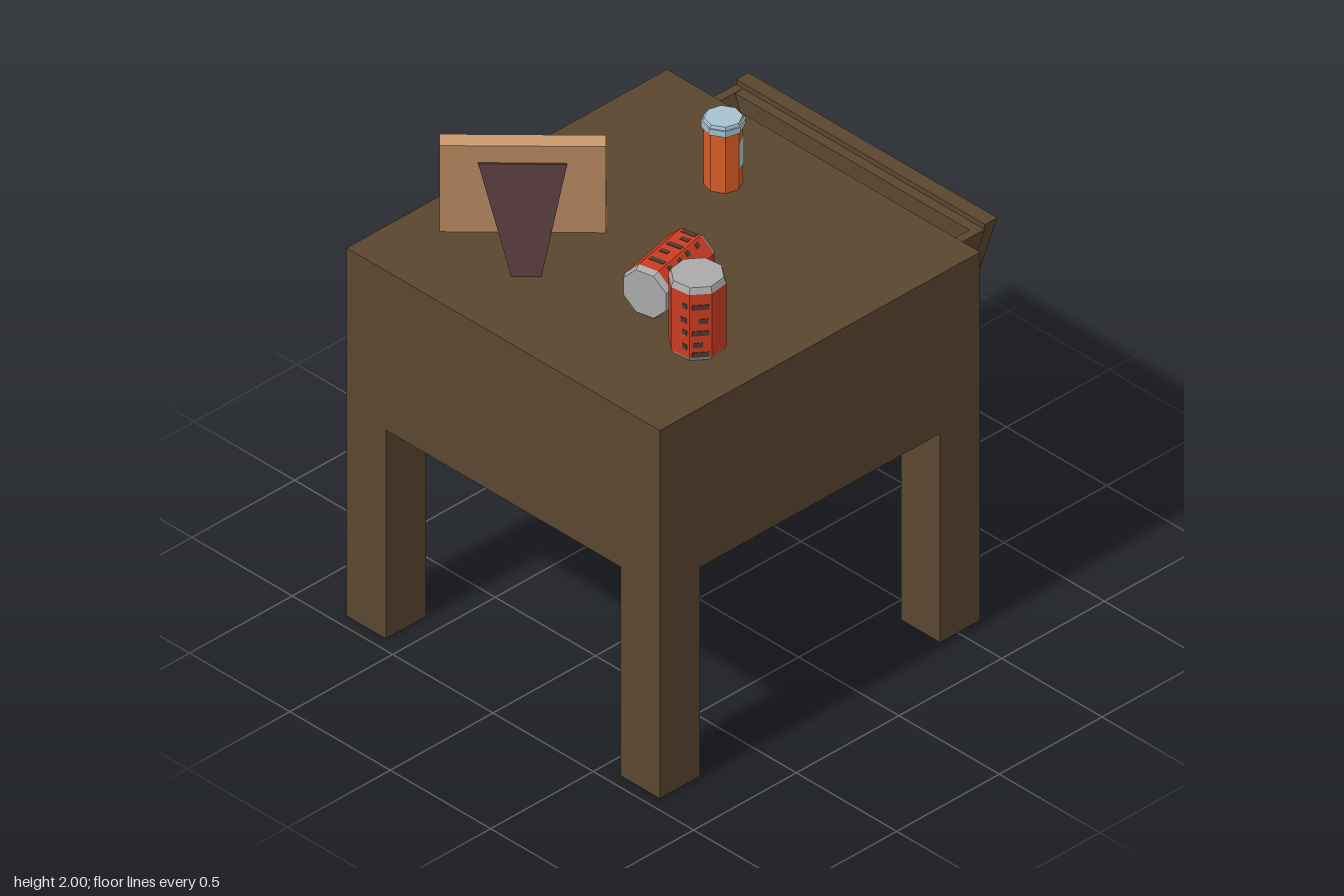
import * as THREE from 'three';

const mat = (name, color, extra = {}) => {
  const m = new THREE.MeshStandardMaterial({ color, flatShading: true, ...extra });
  m.name = name;
  return m;
};
const M = {
  wood: mat('dark wood', 0x5a4630),
  red: mat('can red', 0xcc3c22),
  metal: mat('can metal', 0xaaaaaa),
  mark: mat('can print', 0x4c3a2e),
  orange: mat('bottle orange', 0xd85c24),
  pale: mat('pale blue', 0xa6c2d0, { side: THREE.DoubleSide }),
  frame: mat('frame wood', 0xc8966c),
  maroon: mat('stand maroon', 0x503538),
  sky: mat('picture sky', 0x8299c0),
};

function add(parent, name, geo, material, x = 0, y = 0, z = 0) {
  const m = new THREE.Mesh(geo, material);
  m.name = name;
  m.position.set(x, y, z);
  parent.add(m);
  return m;
}
// Box given by its limits
function box(parent, name, material, x0, x1, y0, y1, z0, z1) {
  return add(parent, name, new THREE.BoxGeometry(x1 - x0, y1 - y0, z1 - z0), material,
    (x0 + x1) / 2, (y0 + y1) / 2, (z0 + z1) / 2);
}
// Flat outline in x and y, extruded from z0 to z1
function slab(parent, name, material, pts, z0, z1) {
  const shape = new THREE.Shape(pts.map(p => new THREE.Vector2(...p)));
  return add(parent, name, new THREE.ExtrudeGeometry(shape, { depth: z1 - z0, bevelEnabled: false }),
    material, 0, 0, z0);
}
const trapezoid = (top, bottom, y0, y1) => [[-top, y1], [-bottom, y0], [bottom, y0], [top, y1]];
function group(parent, name, x = 0, y = 0, z = 0) {
  const g = new THREE.Group();
  g.name = name;
  g.position.set(x, y, z);
  parent.add(g);
  return g;
}
const ring = (rTop, rBottom, h) => new THREE.CylinderGeometry(rTop, rBottom, h, 8);

function table(root) {
  const g = group(root, 'table');
  box(g, 'tableBody', M.wood, -0.78, 0.78, 0.885, 1.56, -0.61, 0.95);
  for (const x of [-0.78, 0.585])
    for (const z of [-0.61, 0.755])
      box(g, 'leg', M.wood, x, x + 0.195, 0, 0.885, z, z + 0.195);
}

function drawer(root) {
  const g = group(root, 'drawer');
  // tapered tray, open at the top
  slab(g, 'drawerTray', M.wood, [[-0.62, 1.49], [-0.435, 0.96], [0.435, 0.96], [0.62, 1.49],
    [0.585, 1.49], [0.395, 0.99], [-0.395, 0.99], [-0.585, 1.49]], -0.79, -0.61);
  slab(g, 'drawerInnerWall', M.wood, trapezoid(0.6, 0.41, 0.97, 1.488), -0.79, -0.75);
  slab(g, 'drawerFront', M.wood, trapezoid(0.62, 0.435, 0.96, 1.51), -0.85, -0.79);
  // bracket handle with slanted ends
  slab(g, 'handleBar', M.wood, trapezoid(0.21, 0.165, 1.17, 1.275), -0.95, -0.93);
  for (const s of [-1, 1]) {
    const pts = [[0.21, 1.275], [0.185, 1.275], [0.14, 1.17], [0.165, 1.17]];
    slab(g, 'handleEnd', M.wood, pts.map(([x, y]) => [s * x, y]), -0.93, -0.85);
  }
}

// Eight-sided drink can standing on its own origin
function can(parent) {
  const g = group(parent, 'can'), r = 0.105;
  add(g, 'canBottom', ring(r, 0.093, 0.018), M.metal, 0, 0.009);
  add(g, 'canBody', ring(r, r, 0.267), M.red, 0, 0.1515);
  add(g, 'canTop', ring(0.096, r, 0.025), M.metal, 0, 0.2975);
  // printed marks: face angle, offset along the face, height, width
  const marks = [[67.5, 0, 0.23, 0.06], [67.5, 0.01, 0.17, 0.035], [67.5, 0, 0.12, 0.06],
    [67.5, -0.01, 0.07, 0.035], [67.5, 0, 0.03, 0.06], [22.5, 0.02, 0.23, 0.02],
    [22.5, 0.015, 0.17, 0.025], [22.5, 0.02, 0.12, 0.02], [22.5, 0.02, 0.06, 0.02]];
  for (const [deg, off, y, w] of marks) {
    const face = group(g, 'printFace');
    face.rotation.y = THREE.MathUtils.degToRad(deg);
    add(face, 'printMark', new THREE.BoxGeometry(w, 0.02, 0.004), M.mark, off, y,
      r * Math.cos(Math.PI / 8));
  }
  return g;
}

function bottle(root) {
  const g = group(root, 'pillBottle', -0.15, 1.56, -0.268);
  g.rotation.y = 0.12;
  add(g, 'bottleBody', ring(0.07, 0.07, 0.245), M.orange, 0, 0.1225);
  add(g, 'lidRim', ring(0.078, 0.078, 0.025), M.pale, 0, 0.255);
  add(g, 'lidTop', ring(0.068, 0.072, 0.012), M.pale, 0, 0.2735);
  add(g, 'bottleLabel', new THREE.CylinderGeometry(0.073, 0.073, 0.12, 2, 1, true,
    Math.PI / 2, Math.PI / 2), M.pale, 0, 0.14);
}

function photoFrame(root) {
  const g = group(root, 'photoFrame', -0.406, 1.56, 0.4575);
  g.rotation.y = Math.PI / 4;
  const lean = 0.21, W = 0.29, H = 0.438, t = 0.055, b = 0.032;
  // leaning panel, picture towards local -z
  const p = group(g, 'leaningPanel', 0, 0.0115, -0.0725);
  p.rotation.x = lean;
  box(p, 'frameBack', M.frame, -W, W, 0, H, 0.035, t);
  box(p, 'frameBottom', M.frame, -W, W, 0, b, 0, 0.035);
  box(p, 'frameTop', M.frame, -W, W, H - b, H, 0, 0.035);
  for (const s of [-1, 1])
    box(p, 'frameSide', M.frame, s * (W - b / 2) - b / 2, s * (W - b / 2) + b / 2, b, H - b, 0, 0.035);
  box(p, 'frameLiner', M.maroon, -W + b, W - b, b, b + 0.004, 0.006, 0.034);
  box(p, 'pictureSky', M.sky, -W + b, W - b, b, H - b, 0.031, 0.036);

  // painted scene
  slab(p, 'pictureGround', M.frame, [[-0.258, 0.032], [0.258, 0.032], [0.258, 0.12],
    [0.15, 0.15], [0.05, 0.125], [-0.12, 0.15], [-0.258, 0.12]], 0.029, 0.031);
  const disc = (name, m, r, x, y, z, sy = 1) => {
    const d = add(p, name, new THREE.CylinderGeometry(r, r, 0.002, 10), m, x, y, z);
    d.rotation.x = Math.PI / 2;
    d.scale.z = sy;
  };
  disc('pictureHair', M.mark, 0.058, 0, 0.305, 0.029, 1.1);
  disc('pictureFace', M.frame, 0.045, 0, 0.29, 0.027, 1.25);
  slab(p, 'pictureShoulders', M.frame, [[-0.09, 0.1], [0.09, 0.1], [0.085, 0.2],
    [0.03, 0.25], [-0.03, 0.25], [-0.085, 0.2]], 0.027, 0.029);
  slab(p, 'pictureShirt', M.pale, [[-0.045, 0.05], [0.045, 0.05], [0.075, 0.14],
    [0.06, 0.175], [0, 0.15], [-0.06, 0.175], [-0.075, 0.14]], 0.024, 0.026);

  // sloping stand, wide at the top and narrow at the foot
  const geo = new THREE.BoxGeometry(0.31, 0.345, 0.035);
  const pos = geo.attributes.position;
  for (let i = 0; i < pos.count; i++)
    if (pos.getY(i) < 0) {
      pos.setX(i, pos.getX(i) * 0.34 + 0.015);
      pos.setZ(i, pos.getZ(i) + 0.19);
    }
  geo.computeVertexNormals();
  add(g, 'frameStand', geo, M.maroon, 0, 0.1725, 0.045);
}

export function createModel() {
  const root = new THREE.Group();
  root.name = 'nightstand';
  table(root);
  drawer(root);

  const standing = can(root);
  standing.name = 'standingCan';
  standing.position.set(0.502, 1.56, 0.495);
  standing.rotation.y = -0.26;

  const lying = group(root, 'lyingCan', 0.182, 1.657, 0.2);
  lying.rotation.y = 0.213;
  can(lying).rotation.set(Math.PI / 2, THREE.MathUtils.degToRad(112.5), 0);

  bottle(root);
  photoFrame(root);
  return root;
}
